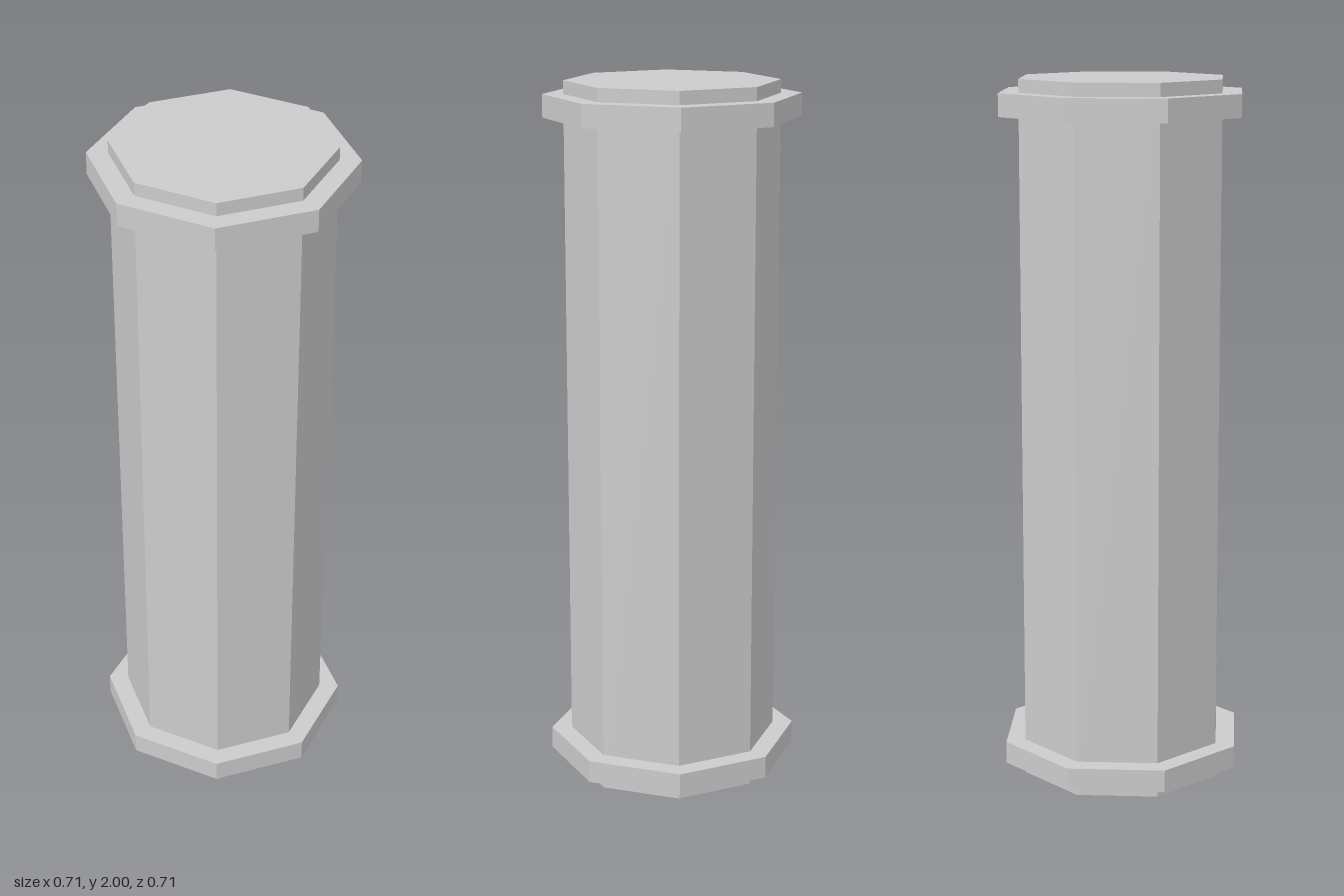
import * as THREE from 'three';

const SIDES = 8;
const HEIGHT = 2;
const BODY_RADIUS = 0.299;
const COLLAR_RADIUS = 0.357;
const COLLAR_HEIGHT = 0.064;
const COLLAR_INSET = 0.069; // collar centre, measured from each end

export function createModel() {
  const model = new THREE.Group();
  model.name = 'octagonalColumn';
  const material = new THREE.MeshStandardMaterial({ color: 0xcccccc, flatShading: true });

  // Solid octagonal prism with corners on the x and z axes
  const addPrism = (name, radius, height, y) => {
    const mesh = new THREE.Mesh(new THREE.CylinderGeometry(radius, radius, height, SIDES), material);
    mesh.name = name;
    mesh.position.y = y;
    model.add(mesh);
  };

  // Shaft running the full height
  addPrism('shaft', BODY_RADIUS, HEIGHT, HEIGHT / 2);

  // Collars near both ends
  addPrism('bottomCollar', COLLAR_RADIUS, COLLAR_HEIGHT, COLLAR_INSET);
  addPrism('topCollar', COLLAR_RADIUS, COLLAR_HEIGHT, HEIGHT - COLLAR_INSET);

  return model;
}
